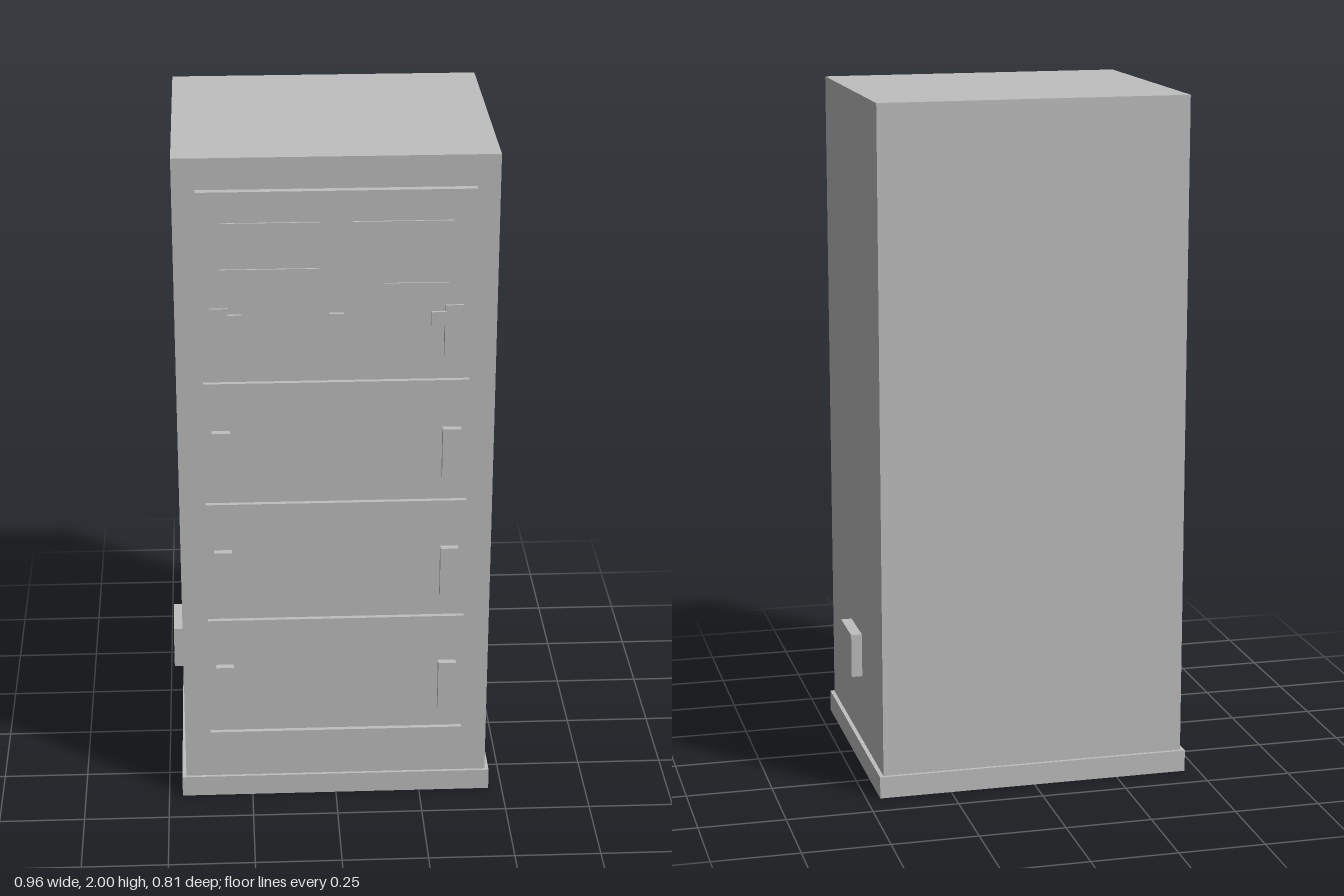
import * as THREE from 'three';

export function createModel() {
  const group = new THREE.Group();
  const grey = new THREE.MeshStandardMaterial({ color: 0xbfbfbf });
  grey.name = 'cabinetGrey';

  // Box given by its min and max corner on each axis
  function box(name, [x0, x1], [y0, y1], [z0, z1]) {
    const mesh = new THREE.Mesh(new THREE.BoxGeometry(x1 - x0, y1 - y0, z1 - z0), grey);
    mesh.position.set((x0 + x1) / 2, (y0 + y1) / 2, (z0 + z1) / 2);
    mesh.name = name;
    group.add(mesh);
  }

  // The same box on both sides of the model
  function pair(name, [x0, x1], y, z) {
    box(name + 'Left', [x0, x1], y, z);
    box(name + 'Right', [-x1, -x0], y, z);
  }

  const face = 0.374; // front plane of the cabinet

  // Cabinet and plinth
  box('plinth', [-0.46, 0.46], [0, 0.064], [-0.406, 0.383]);
  box('cabinet', [-0.448, 0.448], [0.064, 2], [-0.396, face]);

  // Side blocks near the floor
  pair('sideBlock', [0.448, 0.48], [0.267, 0.397], [-0.093, 0.068]);

  // Raised control panel with thin label plates
  box('controlPanel', [-0.384, 0.384], [1.543, 1.91], [face, 0.396]);
  const plate = [0.396, 0.401];
  box('labelTopRight', [-0.32, -0.045], [1.762, 1.822], plate);
  box('labelLowerRight', [-0.32, -0.045], [1.628, 1.688], plate);
  box('labelTopLeft', [0.044, 0.32], [1.762, 1.822], plate);
  box('labelLine', [0.13, 0.31], [1.638, 1.641], [0.396, 0.4]);

  // Four drawers: handles on both sides and a ledge below
  for (let i = 0; i < 4; i++) {
    const y = 0.196 + i * 0.3747;
    box('drawerLedge', [-0.373, 0.373], [y, y + 0.024], [face, 0.388]);
    const h = 0.294 + i * 0.3762;
    pair('handleMount', [0.31, 0.342], [h + 0.01, h + 0.143], [face, 0.383]);
    pair('handle', [0.3, 0.352], [h, h + 0.152], [0.382, 0.403]);
  }

  // Clips along the lower edge of the panel
  pair('panelClip', [0.263, 0.305], [1.516, 1.556], [0.396, 0.406]);
  box('panelClipMiddle', [-0.02, 0.02], [1.516, 1.556], [0.396, 0.406]);

  return group;
}
